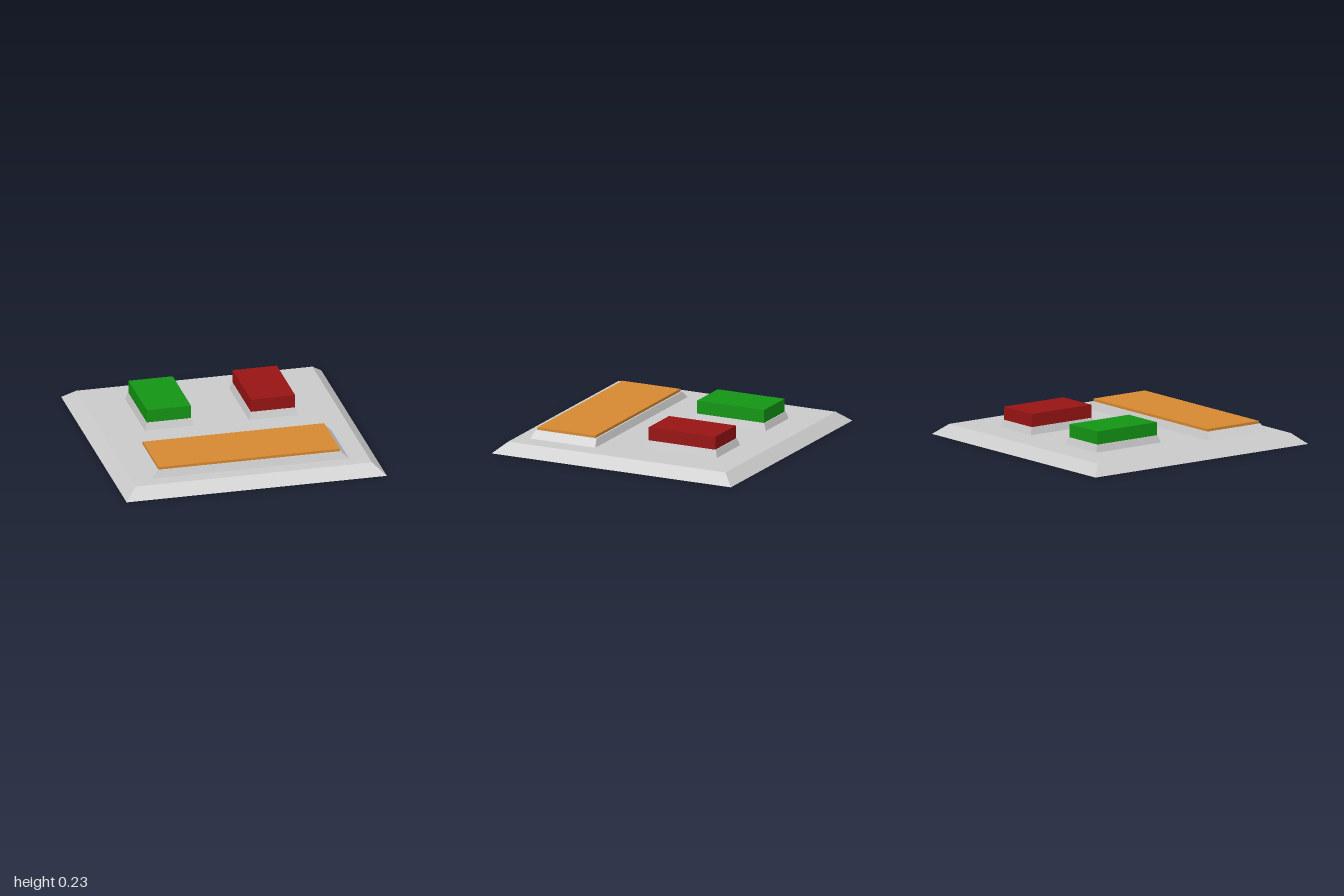
import * as THREE from 'three';

const material = (color) => new THREE.MeshStandardMaterial({ color, flatShading: true });
const grey = material(0xcccccc);

// Box over bounds [x0, x1], [y0, y1], [z0, z1] whose top edges draw in by insetX and insetZ
function taperedBox(name, [x0, x1], [y0, y1], [z0, z1], mat, insetX = 0, insetZ = 0) {
  const w = x1 - x0, h = y1 - y0, d = z1 - z0;
  const geometry = new THREE.BoxGeometry(w, h, d);
  const p = geometry.attributes.position;
  for (let i = 0; i < p.count; i++) {
    if (p.getY(i) > 0) {
      p.setX(i, p.getX(i) * (1 - 2 * insetX / w));
      p.setZ(i, p.getZ(i) * (1 - 2 * insetZ / d));
    }
  }
  geometry.computeVertexNormals();
  geometry.translate((x0 + x1) / 2, (y0 + y1) / 2, (z0 + z1) / 2);
  const mesh = new THREE.Mesh(geometry, mat);
  mesh.name = name;
  return mesh;
}

export function createModel() {
  const model = new THREE.Group();
  model.name = 'buttonPanel';

  // Bevelled base plate
  model.add(taperedBox('base', [-1, 1], [0, 0.08], [-1, 1], grey, 0.092, 0.092));

  // Wide display on a low plinth at the front
  model.add(taperedBox('displayPlinth', [-0.76, 0.76], [0.08, 0.135], [0.255, 0.798], grey, 0.055, 0.018));
  model.add(taperedBox('displayPlate', [-0.697, 0.697], [0.13, 0.155], [0.285, 0.77], material(0xd78a32)));

  // Pair of raised buttons at the back, each on its own plinth
  for (const [side, name, color] of [[-1, 'green', 0x149614], [1, 'red', 0x991414]]) {
    const x = side * 0.4;
    model.add(taperedBox(name + 'ButtonPlinth', [x - 0.19, x + 0.19], [0.08, 0.135], [-0.676, -0.07], grey, 0.016, 0.018));
    model.add(taperedBox(name + 'Button', [x - 0.17, x + 0.17], [0.13, 0.235], [-0.652, -0.093], material(color)));
  }
  return model;
}
